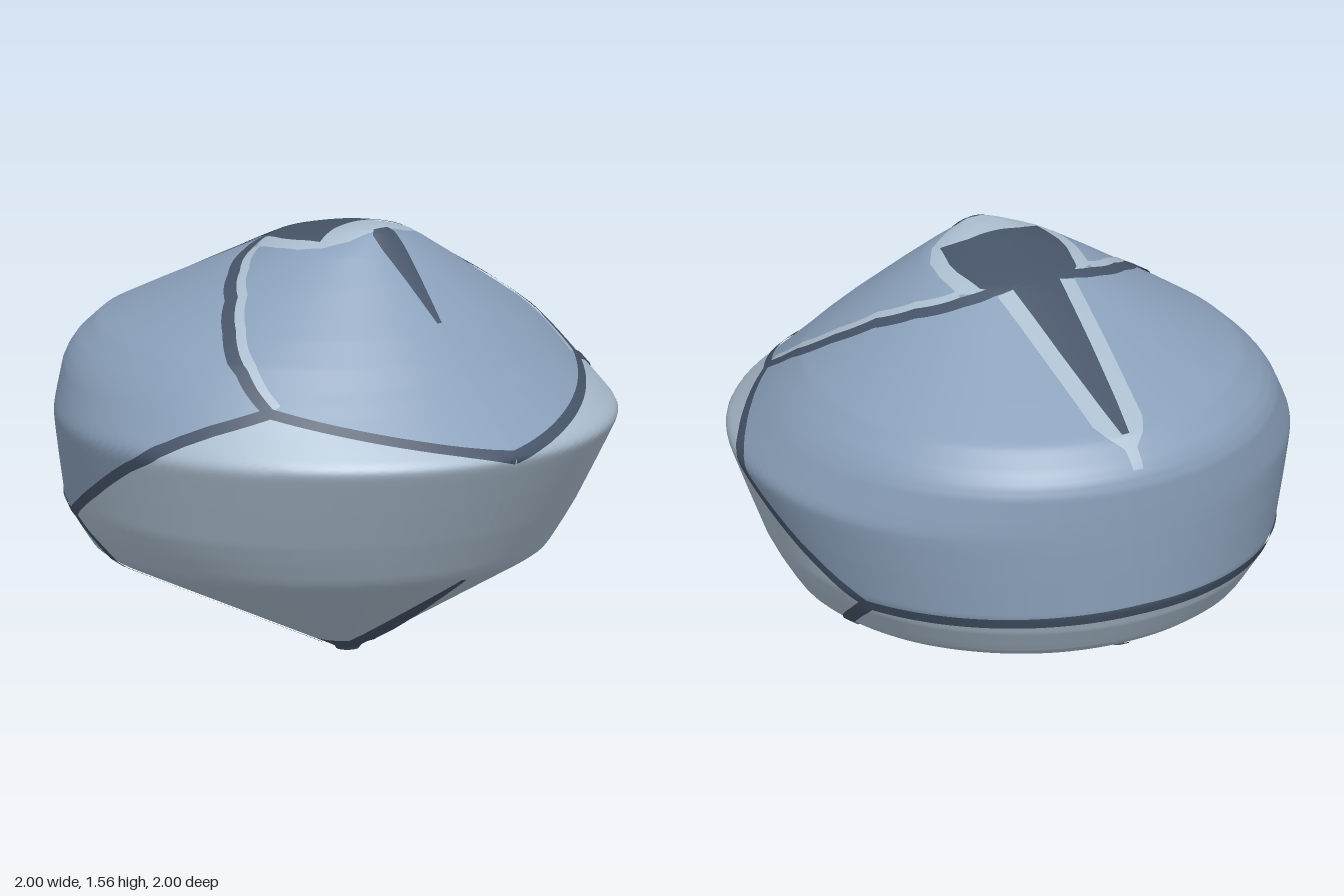
import * as THREE from 'three';

const paint = (name, color) => {
  const m = new THREE.MeshStandardMaterial({ color, side: THREE.DoubleSide });
  m.name = name;
  return m;
};

// Stacked level circles: [height, left edge, right edge]
const PROFILE = [
  [0, 0.022, 0.104], [0.012, 0.015, 0.11], [0.355, -0.865, 0.685], [0.38, -0.9, 0.72],
  [0.41, -0.92, 0.742], [0.48, -0.965, 0.785], [0.55, -0.993, 0.828], [0.7, -0.998, 0.915],
  [0.81, -1, 0.978], [0.84, -1, 0.994], [0.86, -1, 1], [0.885, -1, 0.985], [0.93, -1, 0.935],
  [1.02, -0.998, 0.833], [1.06, -0.985, 0.79], [1.1, -0.96, 0.747], [1.17, -0.885, 0.678],
  [1.25, -0.72, 0.598], [1.4, -0.4, 0.435], [1.485, -0.215, 0.338], [1.505, -0.14, 0.315],
  [1.545, 0.06, 0.27], [1.555, 0.115, 0.255], [1.56, 0.18, 0.19],
];
const TOP = 1.56;

// Linear lookup in a table whose first column ascends
function lookup(table, t) {
  let i = 1;
  while (i < table.length - 1 && table[i][0] < t) i++;
  const a = table[i - 1], b = table[i];
  const k = THREE.MathUtils.clamp((t - a[0]) / (b[0] - a[0]), 0, 1);
  return a.map((v, j) => v + (b[j] - v) * k);
}

function circleAt(y) {
  const [, l, r] = lookup(PROFILE, y);
  return { c: (l + r) / 2, r: (r - l) / 2 };
}

function surface(deg, y, lift = 0) {
  const { c, r } = circleAt(y), a = THREE.MathUtils.degToRad(deg);
  const p = new THREE.Vector3(c + r * Math.cos(a), y, r * Math.sin(a));
  if (lift) {
    const du = surface(deg + 0.5, y).sub(surface(deg - 0.5, y));
    const dv = surface(deg, Math.min(y + 0.015, TOP)).sub(surface(deg, Math.max(y - 0.015, 0)));
    p.addScaledVector(dv.cross(du).normalize(), lift);
  }
  return p;
}

// Height of the upper shell above a plan position
function heightAt(x, z) {
  let lo = 0.9, hi = TOP;
  for (let i = 0; i < 30; i++) {
    const y = (lo + hi) / 2, { c, r } = circleAt(y);
    if (Math.hypot(x - c, z) < r) lo = y; else hi = y;
  }
  return lo;
}

// Sheet of nu x nv cells from a point rule
function sheet(name, material, nu, nv, point) {
  const pos = [], index = [];
  for (let i = 0; i <= nu; i++) {
    for (let j = 0; j <= nv; j++) {
      pos.push(...point(i / nu, j / nv).toArray());
      if (i < nu && j < nv) {
        const a = i * (nv + 1) + j, b = a + nv + 1;
        index.push(a, a + 1, b, b, a + 1, b + 1);
      }
    }
  }
  const g = new THREE.BufferGeometry();
  g.setAttribute('position', new THREE.Float32BufferAttribute(pos, 3));
  g.setIndex(index);
  g.computeVertexNormals();
  const mesh = new THREE.Mesh(g, material);
  mesh.name = name;
  return mesh;
}

// Stripe following a [degrees, height, width] path on the shell
function stripe(name, material, path, { side = 1, offset = 0, lift = 0.005 } = {}) {
  const n = 70, last = path.length - 1;
  const at = (t) => {
    const s = THREE.MathUtils.clamp(t, 0, 1) * last, i = Math.min(Math.floor(s), last - 1);
    return path[i].map((v, k) => v + (path[i + 1][k] - v) * (s - i));
  };
  return sheet(name, material, n, 4, (u, v) => {
    const [deg, y, w] = at(u), p = at(u - 0.015), q = at(u + 0.015);
    const perDeg = Math.max(circleAt(y).r, 0.03) * Math.PI / 180;
    const perY = surface(deg, Math.min(y + 0.02, TOP)).distanceTo(surface(deg, Math.max(y - 0.02, 0))) / 0.04;
    const ta = (q[0] - p[0]) * perDeg, tb = (q[1] - p[1]) * perY, len = Math.hypot(ta, tb);
    const d = (offset + (v - 0.5) * w) / len;
    return surface(side * (deg - d * tb / perDeg), y + d * ta / perY, lift);
  });
}

// Painted plate laid on the top; rows are plan segments [x0, z0, x1, z1]
function plate(name, material, rows, lift) {
  const last = rows.length - 1;
  return sheet(name, material, last * 8, 16, (u, v) => {
    const i = Math.min(Math.floor(u * last), last - 1), k = u * last - i;
    const [x0, z0, x1, z1] = rows[i].map((a, j) => a + (rows[i + 1][j] - a) * k);
    const x = x0 + (x1 - x0) * v, z = z0 + (z1 - z0) * v;
    return new THREE.Vector3(x, heightAt(x, z) + lift, z);
  });
}
const across = (rows) => rows.map(([x, h]) => [x, -h, x, h]);

// Border between upper and lower shell: [degrees, height]
const SEAM = [[0, 0.865], [51, 1.035], [65, 0.97], [72, 0.93], [79, 0.882], [87, 0.805],
  [99, 0.67], [108, 0.58], [115, 0.522], [180, 0.54]];
const seamAt = (deg) => lookup(SEAM, deg > 180 ? 360 - deg : deg)[1];

export function createModel() {
  const model = new THREE.Group();
  const blue = paint('slate blue', 0x8aa0ba);
  const pale = paint('pale blue grey', 0xabbdce);
  const dark = paint('dark slate', 0x465468);

  // Shell
  const band = (name, mat, rows, low, high) => model.add(sheet(name, mat, 144, rows, (u, v) => {
    const deg = u * 360, a = low(deg);
    return surface(deg, a + (high(deg) - a) * v);
  }));
  band('upperShell', blue, 90, seamAt, () => TOP);
  band('lowerShell', pale, 70, () => 0.05, seamAt);
  band('bottomTip', dark, 6, () => 0, () => 0.05);
  const foot = new THREE.Mesh(new THREE.CircleGeometry(0.041, 24), blue);
  foot.name = 'tipFace';
  foot.rotation.x = Math.PI / 2;
  foot.position.x = 0.063;
  model.add(foot);

  // Mirrored seam lines
  const W = 0.044;
  const ridge = [[51, 1.035], [59, 1.15], [71, 1.255], [84, 1.34], [102, 1.4], [127, 1.45], [145, 1.475], [162, 1.49]];
  const keel = [[115, 0.522], [104, 0.39], [99, 0.3], [97, 0.19], [97, 0.04]];
  const wide = (path, w) => path.map(([d, y]) => [d, y, w]);
  for (const side of [1, -1]) {
    // Split at the corners so every run keeps its width
    model.add(
      stripe('frontSeam', dark, wide(SEAM.slice(0, 2), W), { side }),
      stripe('sideSeam', dark, wide(SEAM.slice(1, 9), W), { side }),
      stripe('backSeam', dark, wide(SEAM.slice(8), W), { side }),
      stripe('upperRidge', dark, wide(ridge, W), { side, lift: 0.006 }),
      stripe('ridgeHighlight', pale, wide(ridge.slice(0, 6), 0.034), { side, offset: 0.038, lift: 0.004 }),
      stripe('lowerKeel', dark, wide(keel, 0.05), { side }),
    );
  }

  // Tapered marks under the shell
  for (const deg of [0, 180]) {
    model.add(stripe('lowerSpike', dark, [[deg, 0.37, 0.025], [deg, 0.2, 0.11], [deg, 0.045, 0.17]]));
  }

  // Top: pale surround, dark cap and tapered marks
  model.add(
    plate('capHighlight', pale, across([[-0.17, 0.2], [-0.12, 0.265], [0, 0.275], [0.1, 0.26],
      [0.18, 0.21], [0.23, 0.13], [0.255, 0.03]]), 0.004),
    plate('cap', dark, [0.22, 0.195, 0.15, 0.1, 0, -0.1, -0.15, -0.195, -0.22].map((z) => {
      const [, x0, x1] = lookup([[0, -0.215, 0.11], [0.1, -0.21, 0.11], [0.15, -0.195, 0.125],
        [0.195, -0.15, 0.145], [0.22, -0.03, 0.03]], Math.abs(z));
      return [x0, z, x1, z];
    }), 0.008),
    plate('backSpikeBorder', pale, across([[-0.21, 0.155], [-0.5, 0.13], [-0.82, 0.1], [-0.88, 0.07],
      [-0.92, 0.025], [-0.975, 0.02]]), 0.004),
    plate('backSpike', dark, across([[-0.2, 0.095], [-0.5, 0.065], [-0.75, 0.035], [-0.88, 0.015]]), 0.008),
    plate('frontSpike', dark, across([[0.245, 0.03], [0.265, 0.05], [0.32, 0.05], [0.45, 0.03], [0.575, 0.01]]), 0.006),
  );
  return model;
}
